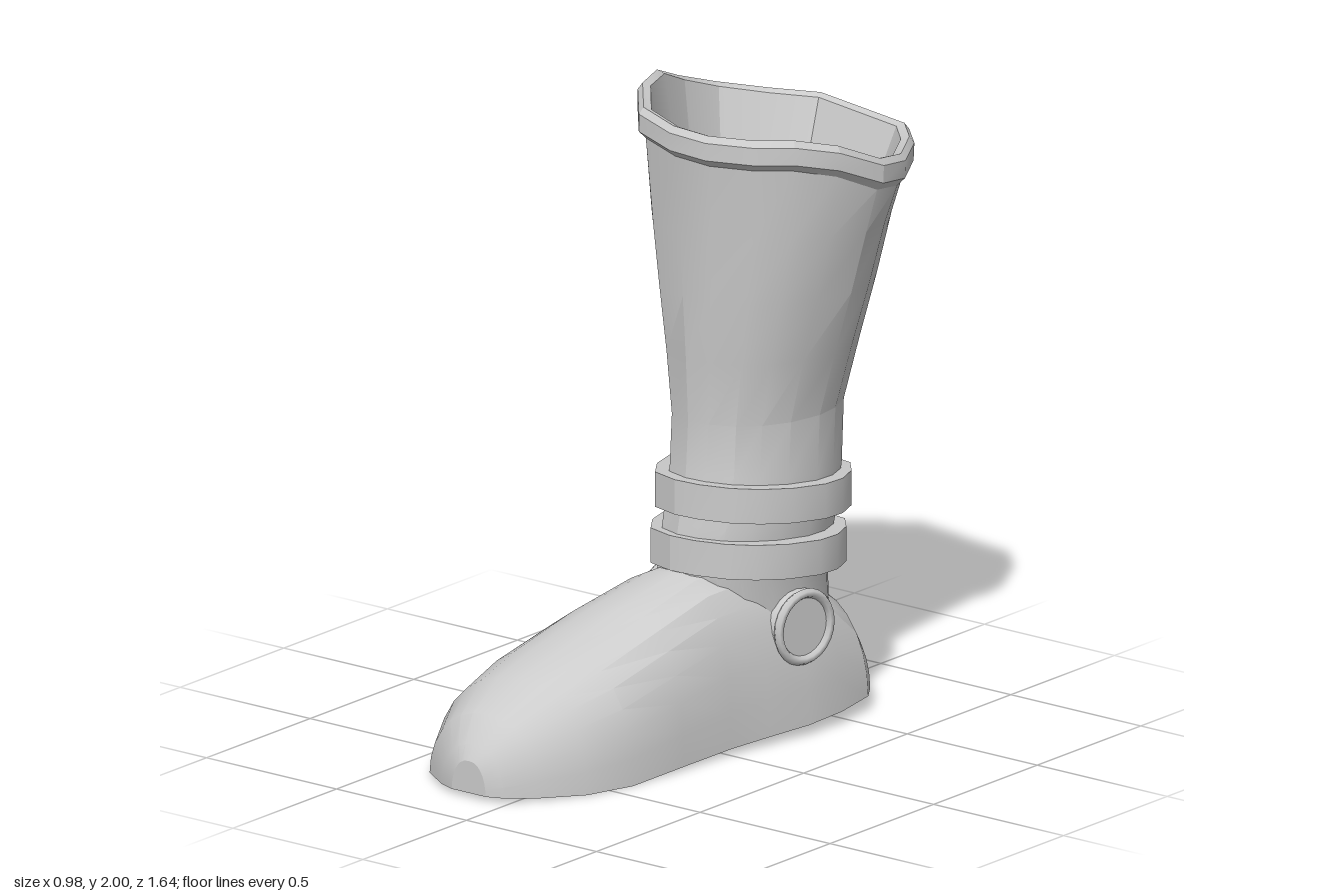
import * as THREE from 'three';
import { toCreasedNormals } from 'three/addons/utils/BufferGeometryUtils.js';

const material = new THREE.MeshStandardMaterial({ color: 0xcccccc });

// Rim outline: x, z and height of the wavy top edge, running back -> +x -> front -> -x
const RIM = [
  [-0.08, -0.82, 1.84], [0.3, -0.76, 1.83], [0.4, -0.66, 1.83], [0.47, -0.53, 1.82],
  [0.49, -0.4, 1.84], [0.45, -0.24, 1.91], [0.37, -0.12, 1.94], [0.27, -0.04, 1.94],
  [0.13, 0.01, 1.94], [0, 0.02, 1.95], [-0.15, -0.02, 1.97], [-0.25, -0.14, 2],
  [-0.32, -0.3, 1.99], [-0.355, -0.45, 1.93], [-0.33, -0.6, 1.88], [-0.22, -0.73, 1.85],
];

// Skin closed rings of points, optionally closing the ends
function loft(rings, capStart, capEnd) {
  const n = rings[0].length, points = rings.flat(), index = [];
  for (let i = 0; i < rings.length - 1; i++) {
    for (let j = 0; j < n; j++) {
      const a = i * n + j, b = i * n + (j + 1) % n;
      index.push(a, a + n, b, b, a + n, b + n);
    }
  }
  const cap = (start, flip) => {
    const centre = new THREE.Vector3();
    for (let j = 0; j < n; j++) centre.addScaledVector(points[start + j], 1 / n);
    const c = points.push(centre) - 1;
    for (let j = 0; j < n; j++) {
      const a = start + j, b = start + (j + 1) % n;
      index.push(c, flip ? b : a, flip ? a : b);
    }
  };
  if (capStart) cap(0, false);
  if (capEnd) cap((rings.length - 1) * n, true);
  const geometry = new THREE.BufferGeometry().setFromPoints(points);
  geometry.setIndex(index);
  return toCreasedNormals(geometry, 0.36);
}

// Rim outline fitted to the box x0..x1, z0..z1; height(z, rimY) gives y
function ring(x0, x1, z0, z1, height) {
  return RIM.map(([x, z, top]) => {
    const px = x0 + (x1 - x0) * (x + 0.355) / 0.845;
    const pz = z0 + (z1 - z0) * (z + 0.82) / 0.84;
    return new THREE.Vector3(px, height(pz, top), pz);
  });
}

const tilted = (y) => (z) => y + 0.09 * (z + 0.32);
const level = (y) => () => y;
const belowRim = (d) => (z, top) => top - d;

// Shaft: ankle, flared leg, rolled cuff, then down the inside to the insole
function shaftGeometry() {
  return loft([
    ring(-0.21, 0.24, -0.61, -0.08, level(0.28)),
    ring(-0.2, 0.235, -0.615, -0.01, tilted(0.5)),
    ring(-0.2, 0.265, -0.625, -0.03, tilted(0.66)),
    ring(-0.2, 0.275, -0.64, -0.06, tilted(0.82)),
    ring(-0.2, 0.275, -0.65, -0.07, level(1)),
    ring(-0.23, 0.325, -0.685, -0.055, level(1.2)),
    ring(-0.27, 0.38, -0.72, -0.04, level(1.4)),
    ring(-0.31, 0.43, -0.75, -0.03, level(1.6)),
    ring(-0.338, 0.467, -0.785, -0.008, belowRim(0.1)),
    ring(-0.355, 0.49, -0.815, 0.02, belowRim(0.075)),
    ring(-0.355, 0.49, -0.82, 0.02, belowRim(0.02)),
    ring(-0.34, 0.475, -0.805, 0.005, belowRim(0)),
    ring(-0.315, 0.445, -0.785, -0.02, belowRim(0.01)),
    ring(-0.085, 0.135, -0.43, -0.2, level(0.86)),
  ], true, true);
}

// Ankle band: chunky tilted hoop
function bandGeometry(x0, x1, z0, z1, y0, y1) {
  return loft([
    ring(x0, x1, z0, z1, tilted(y0)),
    ring(x0, x1, z0, z1, tilted(y1)),
  ], true, true);
}

// Foot: arched sections from toe to heel over a flat, slightly raised sole
function footGeometry() {
  // z, xLow, xHigh, ridge x, ridge y
  const stations = [
    [0.82, -0.2, -0.07, -0.135, 0.12], [0.795, -0.26, -0.02, -0.135, 0.165],
    [0.72, -0.365, 0.05, -0.14, 0.24], [0.58, -0.45, 0.13, -0.13, 0.318],
    [0.42, -0.49, 0.18, -0.1, 0.378], [0.2, -0.465, 0.2, -0.05, 0.465],
    [0, -0.385, 0.22, 0, 0.54], [-0.15, -0.325, 0.25, 0.02, 0.55],
    [-0.3, -0.27, 0.283, 0.03, 0.54], [-0.45, -0.225, 0.29, 0.03, 0.48],
    [-0.6, -0.17, 0.27, 0.04, 0.36], [-0.66, -0.12, 0.23, 0.05, 0.27],
  ];
  const steps = 14;
  return loft(stations.map(([z, x0, x1, ridge, top]) => {
    const base = z > 0.5 ? (z - 0.5) * 0.06 : (0.5 - z) * 0.048;
    const mid = (x0 + x1) / 2, half = (x1 - x0) / 2;
    return Array.from({ length: steps + 1 }, (_, i) => {
      const t = Math.PI * i / steps, c = Math.cos(t), s = Math.max(0, Math.sin(t));
      const x = mid + half * Math.sign(c) * Math.abs(c) ** 0.85 + (ridge - mid) * s * s;
      return new THREE.Vector3(x, base + (top - base) * s, z);
    });
  }), true, true);
}

function addMesh(parent, name, geometry) {
  const mesh = new THREE.Mesh(geometry, material);
  mesh.name = name;
  parent.add(mesh);
  return mesh;
}

// Ankle disc: round plate with a raised rim, facing +x before turning
function ankleDisc(name, x, yaw) {
  const disc = new THREE.Group();
  disc.name = name;
  const plate = addMesh(disc, 'discPlate', toCreasedNormals(new THREE.CylinderGeometry(0.11, 0.12, 0.1, 20), 0.5));
  plate.rotation.z = -Math.PI / 2;
  plate.position.x = -0.04;
  const rim = addMesh(disc, 'discRim', new THREE.TorusGeometry(0.105, 0.015, 6, 24));
  rim.rotation.y = Math.PI / 2;
  rim.position.x = 0.01;
  disc.position.set(x, 0.345, -0.3);
  disc.rotation.y = yaw;
  return disc;
}

export function createModel() {
  const boot = new THREE.Group();
  boot.name = 'boot';
  addMesh(boot, 'foot', footGeometry());
  addMesh(boot, 'shaft', shaftGeometry());
  addMesh(boot, 'upperBand', bandGeometry(-0.24, 0.32, -0.655, -0.01, 0.69, 0.8));
  addMesh(boot, 'lowerBand', bandGeometry(-0.245, 0.315, -0.635, 0.005, 0.515, 0.625));
  boot.add(ankleDisc('leftAnkleDisc', 0.255, -0.15));
  boot.add(ankleDisc('rightAnkleDisc', -0.24, Math.PI - 0.25));
  return boot;
}
